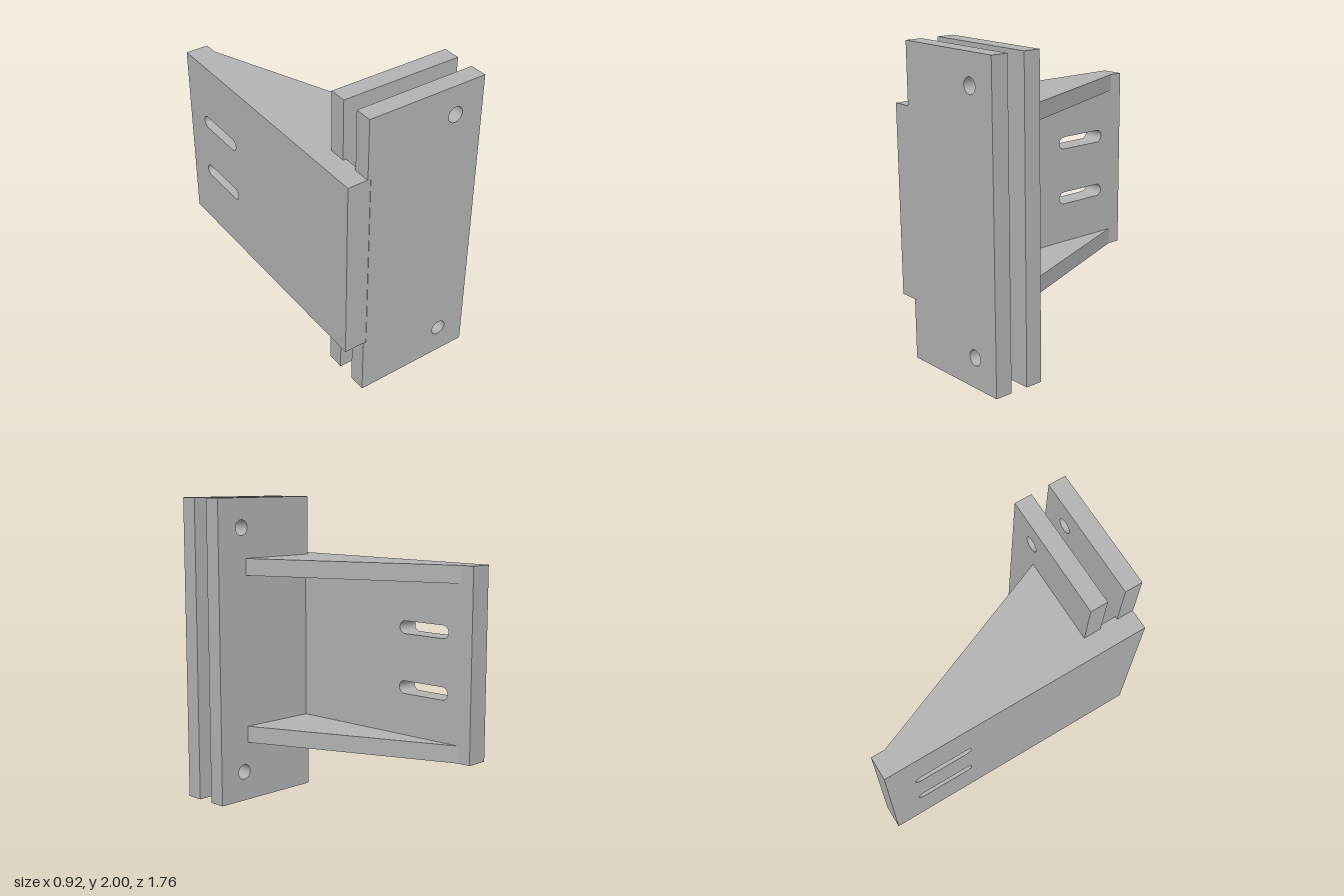
import * as THREE from 'three';
import { toCreasedNormals } from 'three/addons/utils/BufferGeometryUtils.js';

const steel = new THREE.MeshStandardMaterial({ color: 0xb2b2b2 });
steel.name = 'grey steel';

const polygon = (points) => new THREE.Shape(points.map(([x, y]) => new THREE.Vector2(x, y)));

// Extrudes a shape along +z, keeping hole walls smooth and plate edges sharp
function extrude(shape, depth) {
  const geometry = new THREE.ExtrudeGeometry(shape, { depth, bevelEnabled: false, curveSegments: 24 });
  return toCreasedNormals(geometry, 0.6);
}

function addPart(group, name, geometry) {
  const mesh = new THREE.Mesh(geometry, steel);
  mesh.name = name;
  group.add(mesh);
}

export function createModel() {
  const group = new THREE.Group();
  group.name = 'mountingBracket';
  const low = 0.39, high = 1.61;          // height range of the side plate
  const outer = -0.46, inner = -0.31;     // its two faces in x

  // Side plate with two long slots, drawn in (-z, y)
  const side = polygon([[-0.88, low], [0.88, low], [0.88, high], [-0.88, high]]);
  for (const y of [0.81, 1.195]) {
    const r = 0.041;
    const slot = new THREE.Path();
    slot.absarc(0.66, y, r, -Math.PI / 2, Math.PI / 2, false);
    slot.absarc(0.353, y, r, Math.PI / 2, Math.PI * 1.5, false);
    slot.closePath();
    side.holes.push(slot);
  }
  addPart(group, 'sidePlate', extrude(side, inner - outer).rotateY(Math.PI / 2).translate(outer, 0, 0));

  // Twin upright plates, notched around the side plate and drilled at top and bottom
  const upright = polygon([
    [-0.33, 0], [0.46, 0], [0.46, 2], [-0.33, 2],
    [-0.33, high], [inner, high], [inner, low], [-0.33, low],
  ]);
  for (const y of [0.195, 1.81]) {
    upright.holes.push(new THREE.Path().absarc(0.265, y, 0.05, 0, Math.PI * 2, true));
  }
  addPart(group, 'frontPlate', extrude(upright, 0.113).translate(0, 0, 0.77));
  addPart(group, 'backPlate', extrude(upright, 0.113).translate(0, 0, 0.54));

  // Triangular gussets, drawn in (x, -z)
  const gusset = polygon([[inner, -0.54], [0.23, -0.54], [inner, 0.79]]);
  const thickness = 0.11;
  addPart(group, 'lowerGusset', extrude(gusset, thickness).rotateX(-Math.PI / 2).translate(0, low, 0));
  addPart(group, 'upperGusset', extrude(gusset, thickness).rotateX(-Math.PI / 2).translate(0, high - thickness, 0));

  return group;
}
